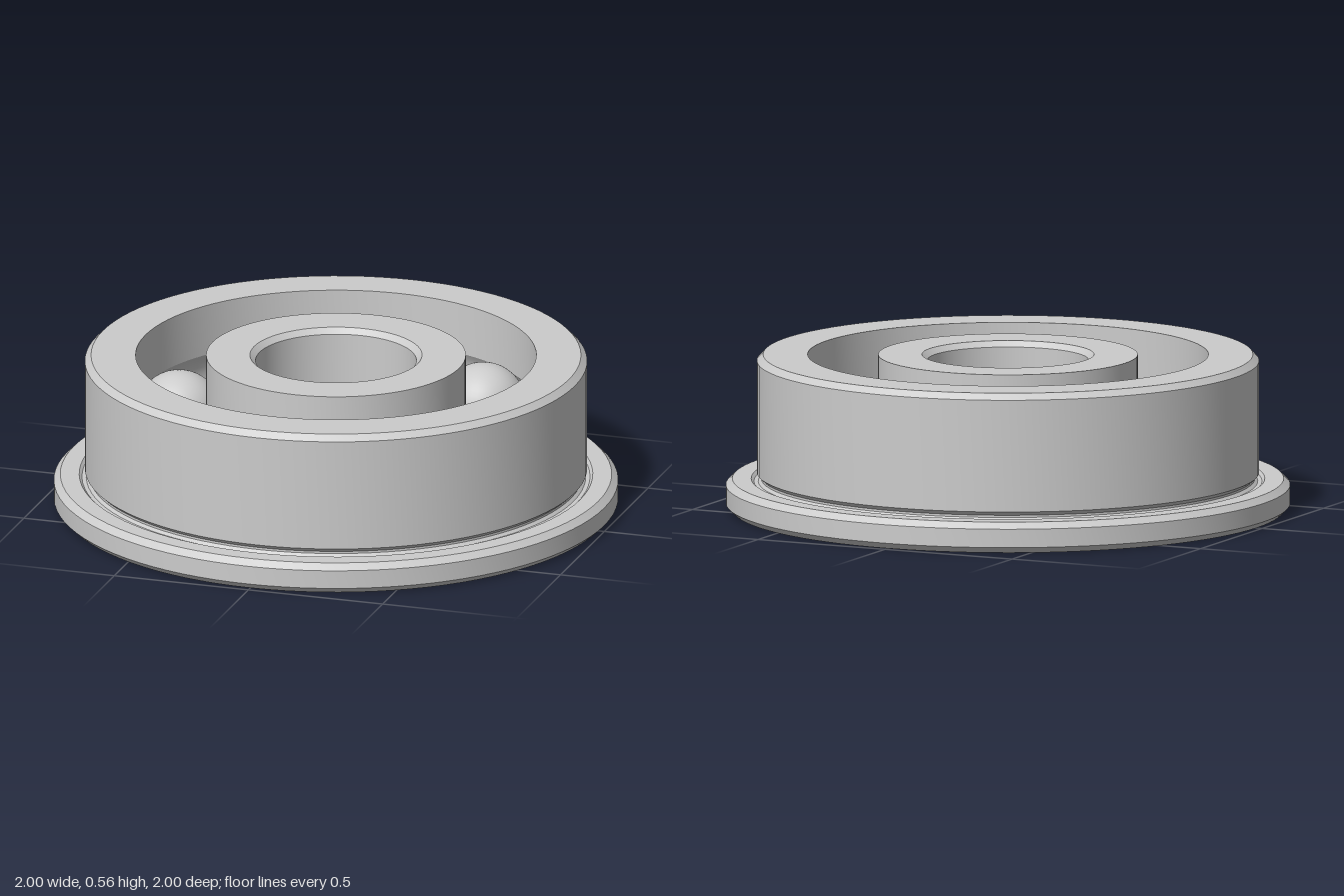
import * as THREE from 'three';
import { toCreasedNormals } from 'three/addons/utils/BufferGeometryUtils.js';

const HEIGHT = 0.555, MID = HEIGHT / 2;
const PITCH = 0.585, BALL = 0.153, BALLS = 8;
const BORE = 0.285, INNER_RIM = 0.46, OUTER_RIM = 0.71, BODY = 0.89, FLANGE = 1;

export function createModel() {
  const group = new THREE.Group();
  group.name = 'flangedBallBearing';
  const material = new THREE.MeshStandardMaterial({ color: 0xcccccc });

  // Closed ring from a counter-clockwise (radius, height) profile
  function addRing(name, profile) {
    const points = [...profile, profile[0]].map(([r, y]) => new THREE.Vector2(r, y));
    const geometry = toCreasedNormals(new THREE.LatheGeometry(points, 96), 0.45);
    const mesh = new THREE.Mesh(geometry, material);
    mesh.name = name;
    group.add(mesh);
  }

  // Circular raceway groove around the ball centre
  function raceway(rim, facing) {
    const radius = BALL + 0.003;
    const half = Math.acos(Math.abs(rim - PITCH) / radius);
    return Array.from({ length: 11 }, (_, i) => {
      const a = facing + half * (1 - i / 5);
      return [PITCH + radius * Math.cos(a), MID + radius * Math.sin(a)];
    });
  }

  // Outer ring: chamfered flange, corner undercut, body and raceway
  addRing('outerRing', [
    [OUTER_RIM, 0], [FLANGE - 0.023, 0], [FLANGE, 0.022], [FLANGE, 0.088], [FLANGE - 0.023, 0.11],
    [0.91, 0.11], [0.9, 0.1], [0.885, 0.1], [0.875, 0.11], [0.875, 0.118],
    [BODY, 0.132], [BODY, HEIGHT - 0.022], [BODY - 0.022, HEIGHT], [OUTER_RIM, HEIGHT],
    ...raceway(OUTER_RIM, 0),
  ]);

  // Inner ring: raceway outside, chamfered bore inside
  addRing('innerRing', [
    [BORE + 0.02, 0], [INNER_RIM, 0],
    ...raceway(INNER_RIM, Math.PI),
    [INNER_RIM, HEIGHT], [BORE + 0.02, HEIGHT], [BORE, HEIGHT - 0.02], [BORE, 0.02],
  ]);

  // Balls spaced evenly in the raceway
  const ballGeometry = new THREE.SphereGeometry(BALL, 40, 24);
  for (let i = 0; i < BALLS; i++) {
    const a = (i / BALLS) * Math.PI * 2;
    const ball = new THREE.Mesh(ballGeometry, material);
    ball.name = `ball${i + 1}`;
    ball.position.set(PITCH * Math.cos(a), MID, PITCH * Math.sin(a));
    group.add(ball);
  }
  return group;
}
